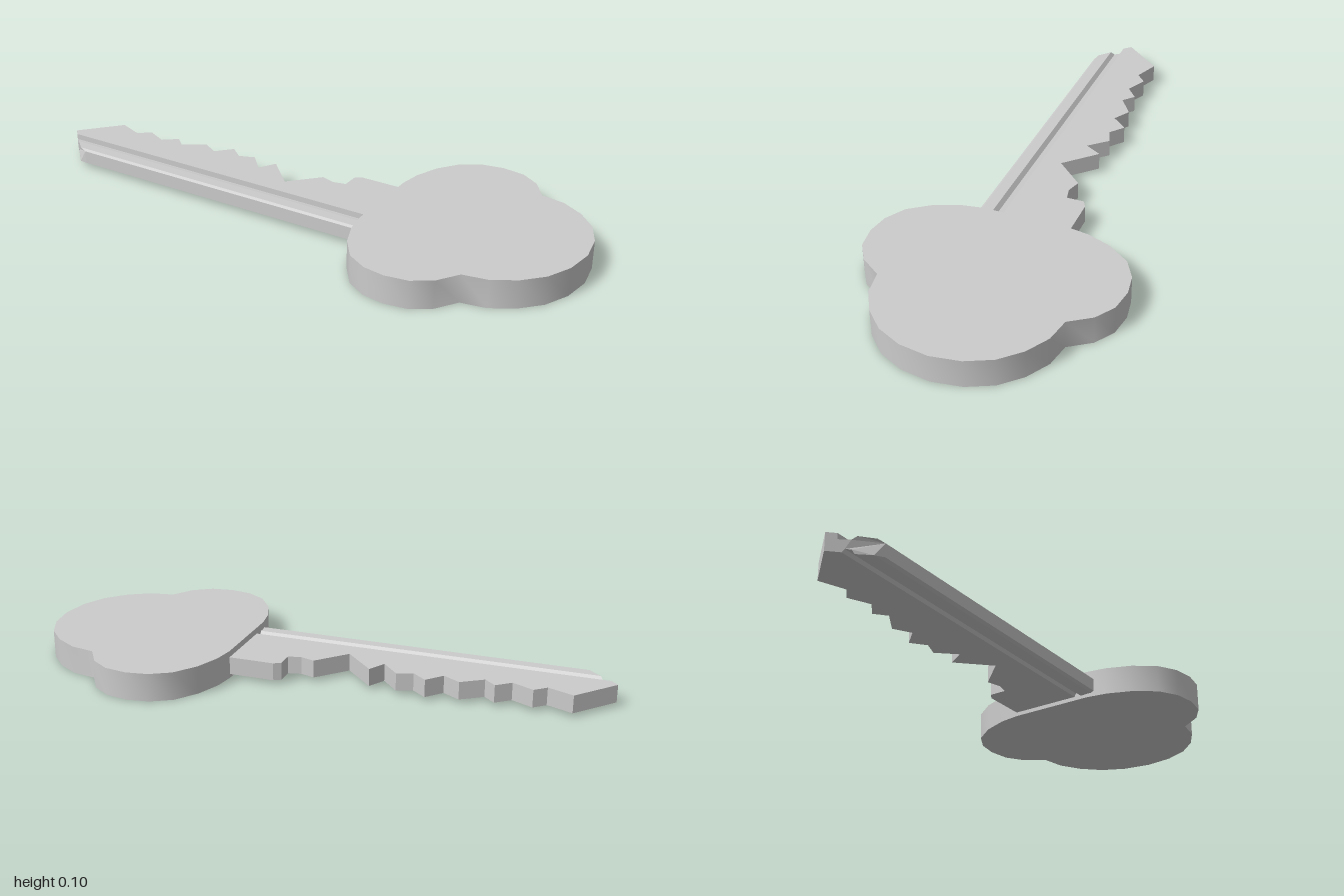
import * as THREE from 'three';
import { toCreasedNormals } from 'three/addons/utils/BufferGeometryUtils.js';

// Extrude an outline of [x, z] points upwards from y0 to y1
function plate(points, y0, y1) {
  const shape = new THREE.Shape(points.map(([x, z]) => new THREE.Vector2(x, -z)));
  const geo = new THREE.ExtrudeGeometry(shape, { depth: y1 - y0, bevelEnabled: false });
  geo.rotateX(-Math.PI / 2);
  geo.translate(0, y0, 0);
  return geo;
}

export function createModel() {
  const group = new THREE.Group();
  const material = new THREE.MeshStandardMaterial({ color: 0xcccccc });
  const add = (name, geo) => {
    const mesh = new THREE.Mesh(geo, material);
    mesh.name = name;
    group.add(mesh);
  };

  // Bow: three-lobed handle, one half mirrored across z = 0
  const half = [
    [0.28, -0.15], [0.292, -0.225], [0.325, -0.31], [0.38, -0.385], [0.45, -0.425],
    [0.525, -0.437], [0.605, -0.425], [0.67, -0.383], [0.72, -0.31], [0.805, -0.295],
    [0.882, -0.25], [0.945, -0.185], [0.985, -0.1],
  ];
  const mirrored = half.map(([x, z]) => [x, -z]).reverse();
  add('bow', toCreasedNormals(plate([...half, [1, 0], ...mirrored], 0, 0.098), 0.8));

  // Blade: flat plate with the cut teeth along its back edge
  const blade = [
    [-1, 0.065], [-0.88, -0.07], [-0.79, -0.035], [-0.75, -0.07], [-0.675, -0.035],
    [-0.625, -0.075], [-0.585, -0.04], [-0.51, -0.09], [-0.45, -0.055], [-0.4, -0.11],
    [-0.35, -0.07], [-0.295, -0.09], [-0.235, -0.025], [-0.2, -0.085], [-0.095, 0.02],
    [0, -0.08], [0.05, -0.065], [0.095, -0.075], [0.095, -0.135], [0.12, -0.15],
    [0.3, -0.15], [0.3, 0.09], [-0.975, 0.09],
  ];
  add('toothedBlade', plate(blade, 0.014, 0.076));

  // Grooved rail: cross-section of [z, y] points swept along x, its tip cut at a slant
  const section = [
    [0.085, 0.014], [0.1, 0.014], [0.106, 0.026], [0.12, 0.026], [0.126, 0.012],
    [0.165, 0.014], [0.177, 0.02], [0.177, 0.066], [0.168, 0.072], [0.13, 0.072],
    [0.118, 0.058], [0.094, 0.056], [0.085, 0.056],
  ];
  const railShape = new THREE.Shape(section.map(([z, y]) => new THREE.Vector2(z, y)));
  const rail = new THREE.ExtrudeGeometry(railShape, { depth: 1, bevelEnabled: false });
  const p = rail.attributes.position;
  for (let i = 0; i < p.count; i++) {
    const z = p.getX(i), y = p.getY(i);
    const tip = -0.975 + (z - 0.09) + Math.max(0, z - 0.165) * 2;
    // Sweep runs from the bow (0) to the tip (1)
    p.setXYZ(i, p.getZ(i) > 0.5 ? tip : 0.3, y, z);
  }
  // The x/z swap with reversed sweep keeps the faces outward
  rail.computeVertexNormals();
  add('groovedRail', rail);

  return group;
}
